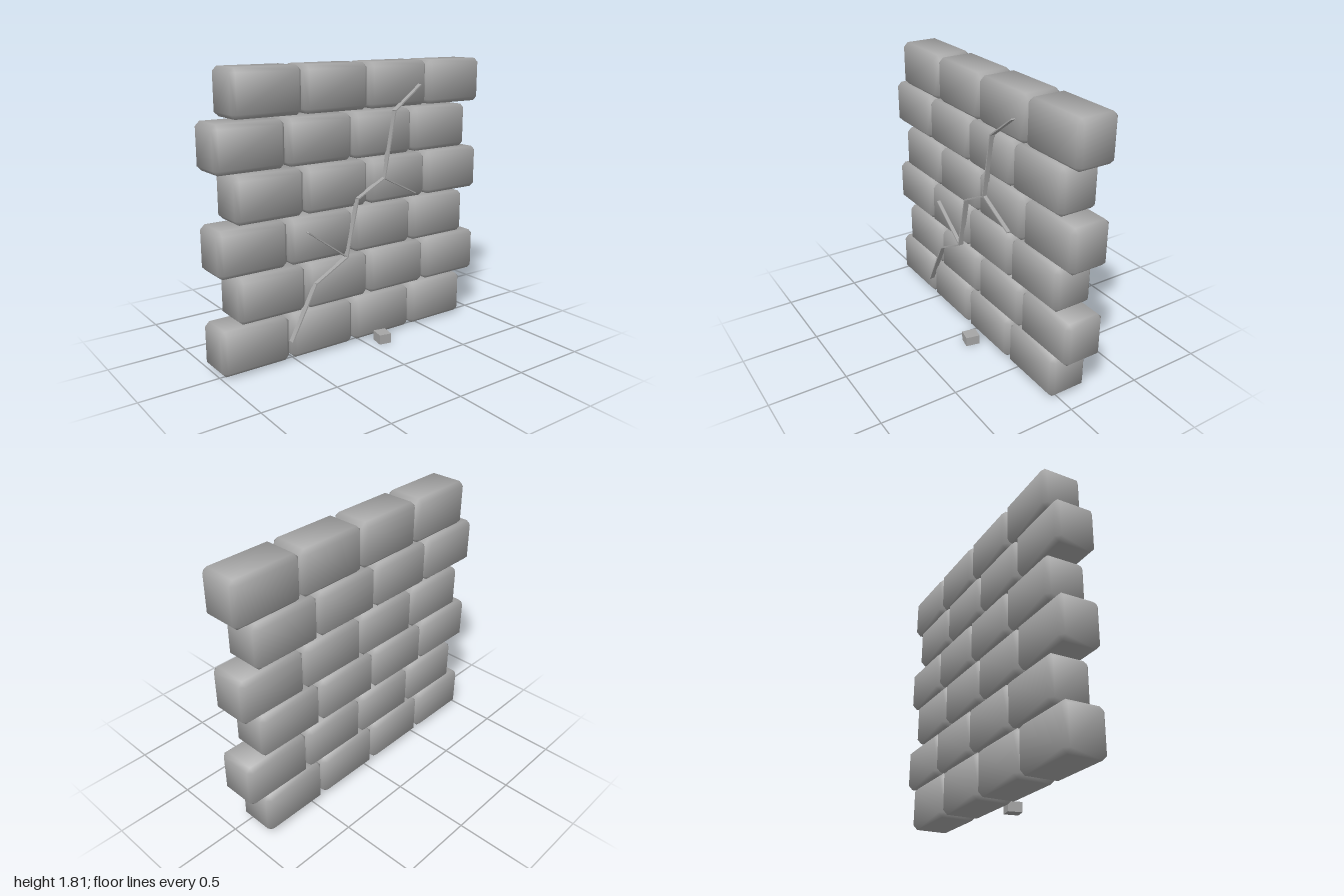
import * as THREE from 'three';
import { ConvexGeometry } from 'three/addons/geometries/ConvexGeometry.js';

// Box with chamfered edges; normals lean outwards so the shading is soft across the chamfers
function chamferedBox(w, h, d, b) {
  const half = [w / 2, h / 2, d / 2];
  const points = [];
  for (let axis = 0; axis < 3; axis++)
    for (const sx of [-1, 1]) for (const sy of [-1, 1]) for (const sz of [-1, 1]) {
      const c = [sx, sy, sz].map((s, i) => s * (half[i] - (i === axis ? 0 : b)));
      points.push(new THREE.Vector3(...c));
    }
  const geometry = new ConvexGeometry(points);
  const pos = geometry.attributes.position;
  const n = new THREE.Vector3();
  for (let i = 0; i < pos.count; i++) {
    const p = [pos.getX(i), pos.getY(i), pos.getZ(i)];
    n.set(...p.map((v, k) => Math.sign(v) * (Math.abs(v) > half[k] - b / 2 ? 1 : 0.43))).normalize();
    geometry.attributes.normal.setXYZ(i, n.x, n.y, n.z);
  }
  return geometry;
}

export function createModel() {
  const model = new THREE.Group();
  model.name = 'crackedBrickWall';
  const stone = new THREE.MeshStandardMaterial({ color: 0xa6a6a6 });
  stone.name = 'stone grey';

  // Six courses of four bricks, alternate courses shifted sideways
  const bricks = new THREE.Group();
  bricks.name = 'bricks';
  const brickGeometry = chamferedBox(0.458, 0.286, 0.262, 0.028);
  for (let row = 0; row < 6; row++) {
    for (let col = 0; col < 4; col++) {
      const brick = new THREE.Mesh(brickGeometry, stone);
      brick.name = 'brick';
      brick.position.set(-0.771 + col * 0.474 + (row % 2) * 0.12, 0.155 + row * 0.3026, -0.069);
      bricks.add(brick);
    }
  }
  model.add(bricks);

  // Thin ribs tracing the crack over the front face
  const crack = new THREE.Group();
  crack.name = 'crack';
  function addCrack(points, front, name) {
    for (let i = 1; i < points.length; i++) {
      const [x0, y0] = points[i - 1], [x1, y1] = points[i];
      const rib = new THREE.Mesh(
        new THREE.BoxGeometry(Math.hypot(x1 - x0, y1 - y0), 0.008, front - 0.055), stone);
      rib.name = name;
      rib.position.set((x0 + x1) / 2, (y0 + y1) / 2, (front + 0.055) / 2);
      rib.rotation.z = Math.atan2(y1 - y0, x1 - x0);
      crack.add(rib);
    }
  }
  addCrack([[-0.545, 0.14], [-0.365, 0.48], [-0.13, 0.61], [-0.047, 0.975],
    [0.163, 1.083], [0.243, 1.505], [0.45, 1.66]], 0.092, 'mainCrack');
  addCrack([[-0.415, 0.817], [-0.13, 0.61]], 0.086, 'leftBranch');
  addCrack([[0.163, 1.083], [0.425, 0.95]], 0.086, 'rightBranch');
  model.add(crack);

  // Loose chip lying in front of the wall
  const chip = new THREE.Mesh(new THREE.BoxGeometry(0.083, 0.064, 0.094), stone);
  chip.name = 'fallenChip';
  chip.position.set(0.108, 0.032, 0.144);
  chip.rotation.y = -0.2;
  model.add(chip);

  return model;
}
